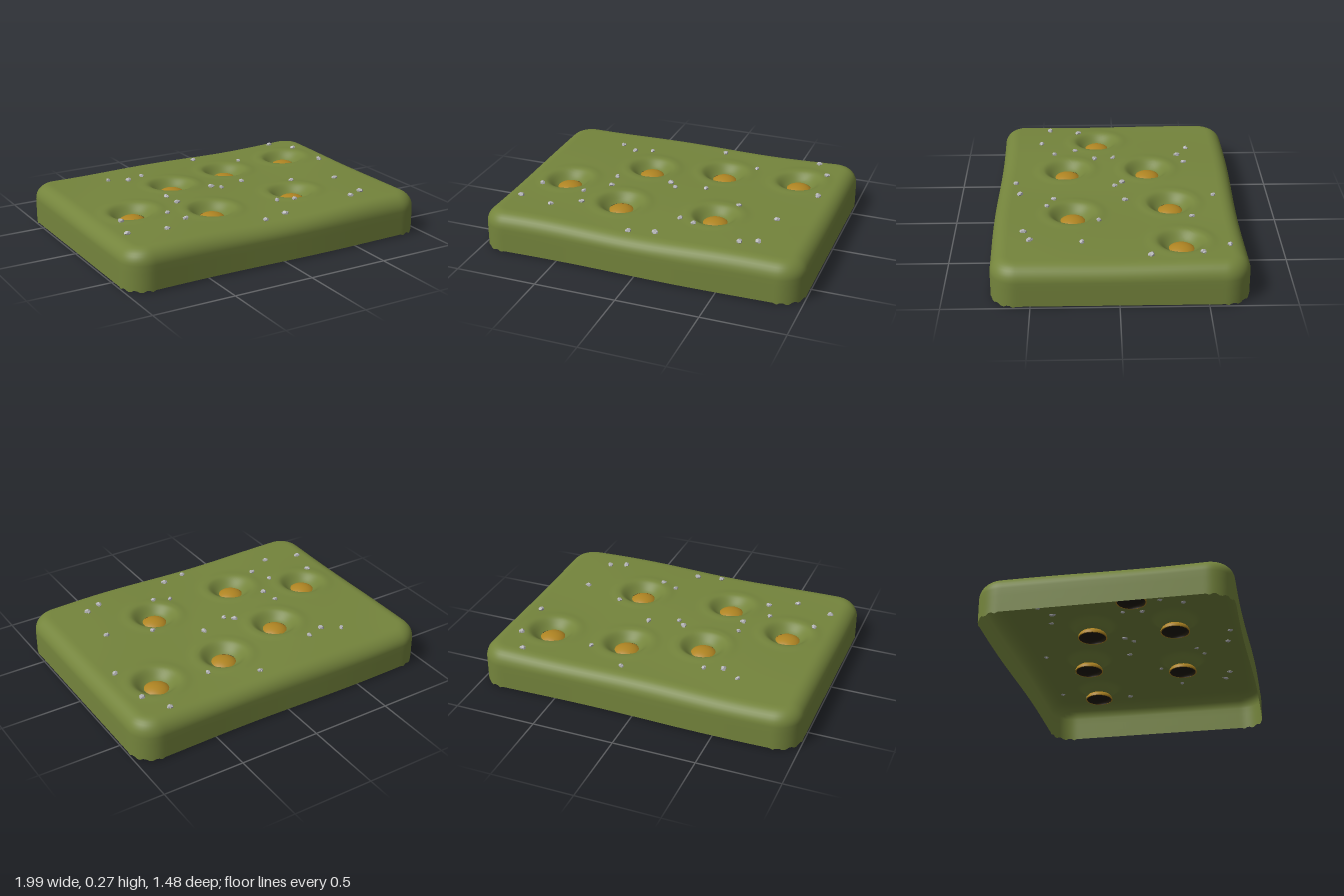
import * as THREE from 'three';

const HX = 0.995, HZ = 0.732, CORNER = 0.15, FILLET = 0.09, TOP = 0.243;
const HOLE = 0.073;
const hollows = [[-0.68, 0.12], [-0.25, 0.31], [-0.25, -0.2], [0.2, -0.33], [0.68, -0.36], [0.34, 0.26]];
const pebbles = [
  [-0.56, -0.47], [-0.45, -0.41], [-0.34, -0.44], [0.12, -0.59], [0.38, -0.44], [0.74, -0.63], [0.83, -0.47],
  [0.85, -0.18], [-0.06, -0.04], [-0.01, 0.01], [0.17, -0.05], [-0.4, 0.01], [-0.39, 0.13], [-0.81, 0.24],
  [-0.52, 0.26], [-0.47, 0.39], [-0.86, 0.43], [-0.64, 0.48], [-0.07, 0.62], [0.08, 0.59], [0.16, 0.38],
  [0.26, 0.42], [0.44, 0.11], [0.7, 0.21], [0.58, 0.55], [0.68, 0.51],
];

function seeded(seed) {
  return () => (seed = (seed * 16807) % 2147483647) / 2147483647;
}

// Gentle waves plus the sunken hollows with a faint raised rim
function relief(x, z) {
  let h = 0.005 * Math.sin(5.2 * x + 2 * z + 3.6) + 0.004 * Math.sin(4.5 * z - 2.5 * x + 0.8);
  for (const [hx, hz] of hollows) {
    const r = Math.hypot(x - hx, z - hz);
    h -= 0.052 * (1 - THREE.MathUtils.smoothstep(r, 0.065, 0.15));
    h += 0.004 * Math.exp(-(((r - 0.17) / 0.03) ** 2));
  }
  return h;
}

// Open-bottomed slab made of closed rings: wall, rounded edge, then the top inwards
function slabGeometry() {
  const ax = HX - CORNER, az = HZ - CORNER, N = 360;
  const shape = new THREE.Shape();
  shape.absarc(ax, az, CORNER, 0, Math.PI / 2);
  shape.absarc(-ax, az, CORNER, Math.PI / 2, Math.PI);
  shape.absarc(-ax, -az, CORNER, Math.PI, Math.PI * 1.5);
  shape.absarc(ax, -az, CORNER, Math.PI * 1.5, Math.PI * 2);
  shape.closePath();
  const outline = shape.getSpacedPoints(N).slice(0, N);

  // Each ring: inset from the outline, height, shrink towards the centre
  const rings = [[0, 0.008, 1], [0, 0.06, 1], [0, 0.11, 1]];
  for (let k = 0; k <= 8; k++) {
    const a = (k / 8) * Math.PI / 2;
    rings.push([FILLET * (1 - Math.cos(a)), TOP - FILLET * (1 - Math.sin(a)), 1]);
  }
  for (let k = 1; k <= 64; k++) rings.push([FILLET, TOP, 1 - k / 64.2]);

  const position = [], onHole = [], index = [];
  rings.forEach(([inset, y, scale], j) => {
    outline.forEach((p, i) => {
      const cx = THREE.MathUtils.clamp(p.x, -ax, ax), cz = THREE.MathUtils.clamp(p.y, -az, az);
      let x = (p.x - (p.x - cx) / CORNER * inset) * scale;
      let z = (p.y - (p.y - cz) / CORNER * inset) * scale;
      const atCorner = cx !== p.x && cz !== p.y;
      let hole = -1;
      hollows.forEach(([hx, hz], n) => {
        const r = Math.hypot(x - hx, z - hz);
        if (r < HOLE) {
          hole = n;
          x = hx + (x - hx) * HOLE / Math.max(r, 1e-4);
          z = hz + (z - hz) * HOLE / Math.max(r, 1e-4);
        }
      });
      onHole.push(hole);
      // Small teeth along the bottom corners
      let h = j === 0 && atCorner ? (i % 4 < 2 ? 0 : 0.01) : y;
      h += relief(x, z) * THREE.MathUtils.smoothstep(y, 0.12, TOP);
      position.push(x, h, z + 0.006 * Math.sin(4.2 * x + 0.4));
    });
  });

  const face = (a, b, c) => {
    const h = onHole[a];
    if (h < 0 || h !== onHole[b] || h !== onHole[c]) index.push(a, b, c);
  };
  for (let j = 0; j < rings.length - 1; j++) {
    for (let i = 0; i < N; i++) {
      const a = j * N + i, b = j * N + (i + 1) % N;
      face(a, a + N, b);
      face(b, a + N, b + N);
    }
  }
  // Close the tiny gap in the middle
  const last = (rings.length - 1) * N;
  for (let i = 1; i < N - 1; i++) index.push(last, last + i + 1, last + i);

  const geometry = new THREE.BufferGeometry();
  geometry.setAttribute('position', new THREE.Float32BufferAttribute(position, 3));
  geometry.setIndex(index);
  geometry.computeVertexNormals();
  return geometry;
}

export function createModel() {
  const model = new THREE.Group();
  model.name = 'mossySlab';
  const moss = new THREE.MeshStandardMaterial({ name: 'mossGreen', color: 0x74843c, side: THREE.DoubleSide });
  const amber = new THREE.MeshStandardMaterial({ name: 'amber', color: 0xaf8422, side: THREE.DoubleSide });
  const dark = new THREE.MeshStandardMaterial({ name: 'darkLining', color: 0x1c160a, side: THREE.BackSide });
  const stone = new THREE.MeshStandardMaterial({ name: 'stoneGrey', color: 0xb2b2b4, flatShading: true });

  const slab = new THREE.Mesh(slabGeometry(), moss);
  slab.name = 'slab';
  model.add(slab);

  // Amber domes filling the hollows, open and dark underneath
  const domeGeometry = new THREE.SphereGeometry(0.09, 32, 10, 0, Math.PI * 2, 0, Math.PI / 2);
  const rimGeometry = new THREE.RingGeometry(0.083, 0.09, 32).rotateX(Math.PI / 2);
  for (const [x, z] of hollows) {
    const group = new THREE.Group();
    group.name = 'hollowDome';
    const dome = new THREE.Mesh(domeGeometry, amber);
    dome.name = 'dome';
    dome.scale.y = 0.6;
    const lining = new THREE.Mesh(domeGeometry, dark);
    lining.name = 'domeLining';
    lining.scale.set(0.92, 0.54, 0.92);
    const rim = new THREE.Mesh(rimGeometry, amber);
    rim.name = 'domeRim';
    group.add(dome, lining, rim);
    group.position.set(x, 0.161 + relief(x, z) + 0.052, z + 0.006 * Math.sin(4.2 * x + 0.4));
    model.add(group);
  }

  // Scattered pebbles, each a squashed and turned faceted stone with a smaller chip
  const random = seeded(41);
  const pebbleGeometry = new THREE.DodecahedronGeometry(1, 0);
  for (const [x, z] of pebbles) {
    const size = 0.016 + 0.005 * random();
    for (const [k, offset] of [[1, 0], [0.7, 0.011]]) {
      const pebble = new THREE.Mesh(pebbleGeometry, stone);
      pebble.name = 'pebble';
      const turn = random() * 6.28;
      pebble.scale.set(size * k, size * k * 0.75, size * k * 0.85);
      pebble.rotation.set(random() * 0.6, turn, random() * 0.6);
      pebble.position.set(x + Math.cos(turn) * offset, TOP + relief(x, z) + 0.004, z + Math.sin(turn) * offset);
      model.add(pebble);
    }
  }
  return model;
}
